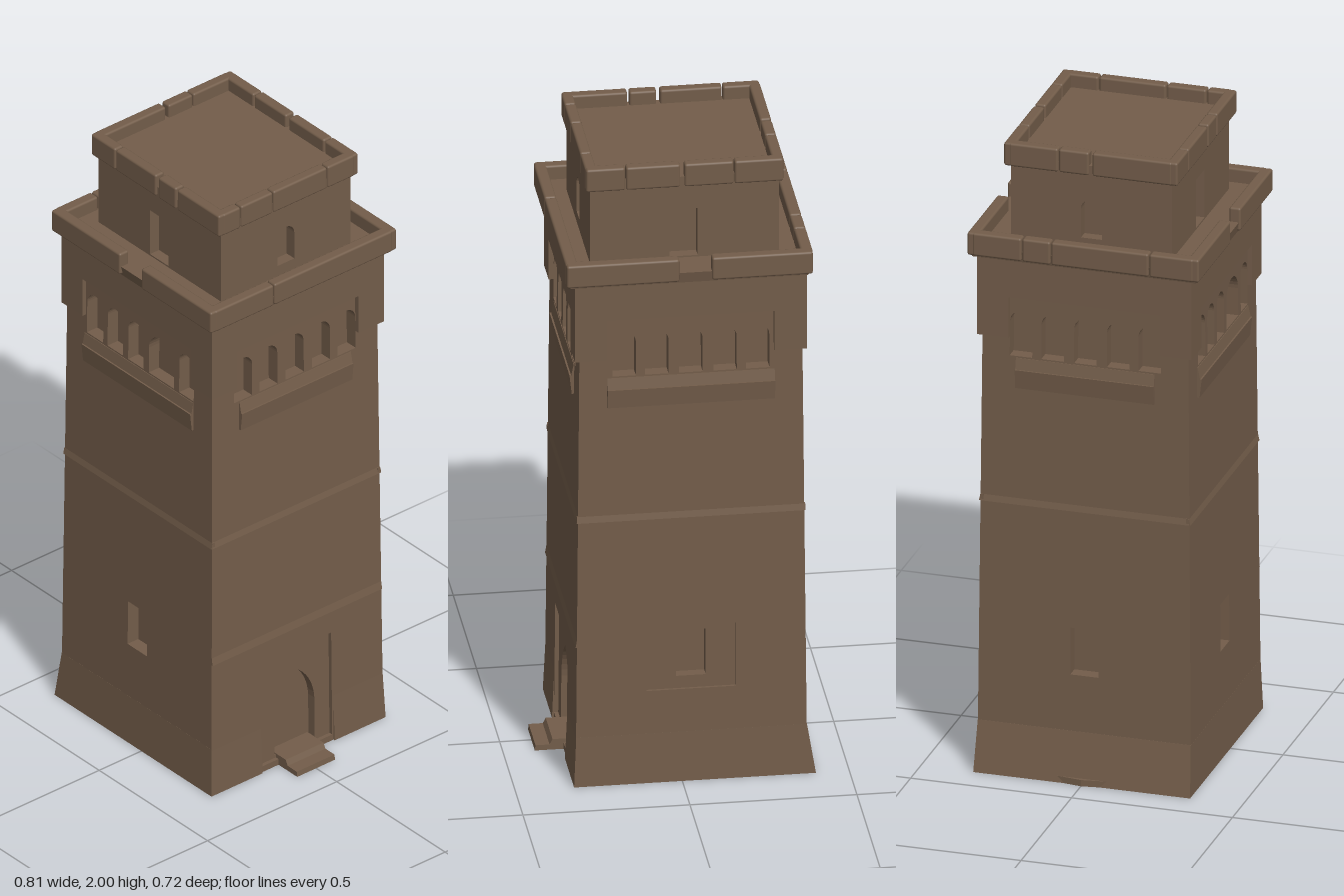
import * as THREE from 'three';
import { RoundedBoxGeometry } from 'three/addons/geometries/RoundedBoxGeometry.js';

const clay = new THREE.MeshStandardMaterial({ color: 0x735d4a });
clay.name = 'brown clay';

const SIDES = [
  { name: 'front', angle: 0 },
  { name: 'leftSide', angle: Math.PI / 2 },   // +x, with the door
  { name: 'back', angle: Math.PI },
  { name: 'rightSide', angle: -Math.PI / 2 },
];

function add(parent, name, geometry) {
  const mesh = new THREE.Mesh(geometry, clay);
  mesh.name = name;
  parent.add(mesh);
  return mesh;
}

function section(parent, name, x) {
  const g = new THREE.Group();
  g.name = name;
  g.position.x = x;
  parent.add(g);
  return g;
}

// Openings and outlines: [left, bottom, right, top]
function rect([l, b, r, t], Type = THREE.Path) {
  const p = new Type();
  p.moveTo(l, b); p.lineTo(r, b); p.lineTo(r, t); p.lineTo(l, t); p.closePath();
  return p;
}

function roundArch([l, b, r, t]) {
  const p = new THREE.Path(), rad = (r - l) / 2;
  p.moveTo(l, b); p.lineTo(r, b); p.lineTo(r, t - rad);
  p.absarc((l + r) / 2, t - rad, rad, 0, Math.PI, false);
  p.closePath();
  return p;
}

function pointedArch([l, b, r, t]) {
  const p = new THREE.Path(), m = (l + r) / 2, s = b + (t - b) * 0.5;
  p.moveTo(l, b); p.lineTo(r, b); p.lineTo(r, s);
  p.quadraticCurveTo(r - 0.005, t - 0.05, m, t);
  p.quadraticCurveTo(l + 0.005, t - 0.05, l, s);
  p.closePath();
  return p;
}

// Box whose bottom and top rectangles differ: [x0, x1, z0, z1]
function loft(y0, bottom, y1, top) {
  const g = new THREE.BoxGeometry(1, 1, 1), p = g.attributes.position;
  for (let i = 0; i < p.count; i++) {
    const q = p.getY(i) < 0 ? bottom : top;
    p.setXYZ(i, p.getX(i) < 0 ? q[0] : q[1], p.getY(i) < 0 ? y0 : y1, p.getZ(i) < 0 ? q[2] : q[3]);
  }
  g.computeVertexNormals();
  return g;
}

// The shaft leans slightly inwards towards the top
function taper(g) {
  const p = g.attributes.position;
  for (let i = 0; i < p.count; i++) {
    const f = 1 + 0.027 * (1.4 - p.getY(i));
    p.setX(i, p.getX(i) * f);
    p.setZ(i, p.getZ(i) * f);
  }
  g.computeVertexNormals();
  return g;
}

// Slab lying between two distances from the centre, turned to its side
function slab(shape, inner, outer, angle) {
  const g = new THREE.ExtrudeGeometry(shape, { depth: outer - inner, bevelEnabled: false, curveSegments: 8 });
  return g.translate(0, 0, inner).rotateY(angle);
}

// Rows of parapet stones round a rectangle, cut at the given places
function parapet(parent, name, [x0, x1, z0, z1], y0, y1, t, runs) {
  const g = section(parent, name, 0);
  const h = y1 - y0, gap = 0.003;
  for (const side of Object.keys(runs)) {
    for (const [a, b] of runs[side]) {
      const len = b - a - gap, mid = (a + b) / 2;
      const alongX = side === 'front' || side === 'back';
      const stone = add(g, side + 'Stone', new RoundedBoxGeometry(alongX ? len : t, h, alongX ? t : len, 2, 0.007));
      if (alongX) stone.position.set(mid, (y0 + y1) / 2, side === 'front' ? z1 - t / 2 : z0 + t / 2);
      else stone.position.set(side === 'left' ? x1 - t / 2 : x0 + t / 2, (y0 + y1) / 2, mid);
    }
  }
}

export function createModel() {
  const model = new THREE.Group();
  model.name = 'tower';

  // Shaft: solid core, four pierced walls, ledges below the arcades
  const HX = 0.334, HZ = 0.32, D = 0.04, TOP = 1.66;
  const shaft = section(model, 'shaft', -0.028);
  add(shaft, 'core', taper(loft(0, [-HX + D, HX - D, -HZ + D, HZ - D], TOP, [-HX + D, HX - D, -HZ + D, HZ - D])));
  const wideArches = [[-0.242, -0.167], [-0.147, -0.077], [-0.052, 0.018], [0.043, 0.158], [0.183, 0.25]];
  const evenArches = [-0.2, -0.102, 0, 0.102, 0.2].map((c) => [c - 0.035, c + 0.035]);
  const window = [-0.043, 0.34, 0.043, 0.49];
  for (const { name, angle } of SIDES) {
    const wide = name === 'front' || name === 'back';
    const half = wide ? HZ : HX, w = wide ? HX : HZ - D;
    const wall = rect([-w, 0, w, TOP], THREE.Shape);
    for (const [l, r] of name === 'front' ? wideArches : evenArches) wall.holes.push(roundArch([l, 1.34, r, 1.485]));
    let panel = null, opening = null, inset = 0.008;
    if (name === 'leftSide') {
      panel = [-0.13, 0.02, 0.13, 0.38];
      opening = pointedArch([-0.075, 0.03, 0.075, 0.305]);
      inset = 0.012;
    } else if (name === 'back') {
      panel = [-0.13, 0.3, 0.13, 0.53];
      opening = rect(window);
    }
    wall.holes.push(rect(panel || window));
    add(shaft, name + 'Wall', taper(slab(wall, half - D, half, angle)));
    if (panel) {
      const infill = rect(panel, THREE.Shape);
      infill.holes.push(opening);
      add(shaft, name + 'Surround', taper(slab(infill, half - D, half - inset, angle)));
    }
    // Two-step ledge
    const p = wide ? 0.25 : 0.215;
    add(shaft, name + 'Ledge', taper(loft(1.24, [-p, p, half - 0.02, half + 0.007], 1.3, [-p, p, half - 0.02, half + 0.014]).rotateY(angle)));
    add(shaft, name + 'Sill', taper(loft(1.3, [-p, p, half - 0.02, half + 0.009], 1.335, [-p, p, half - 0.02, half + 0.002]).rotateY(angle)));
    // Faint string course
    const c = wide ? HX + 0.003 : HZ;
    add(shaft, name + 'Course', taper(loft(0.865, [-c, c, half - 0.01, half + 0.004], 0.885, [-c, c, half - 0.01, half]).rotateY(angle)));
  }
  add(shaft, 'doorCourse', taper(loft(0.455, [-HZ, HZ, HX - 0.01, HX + 0.004], 0.48, [-HZ, HZ, HX - 0.01, HX]).rotateY(Math.PI / 2)));

  // Flared foot, left open in front of the door
  const foot = section(model, 'foot', 0);
  add(foot, 'frontFoot', loft(0, [-0.4, 0.324, 0.14, 0.337], 0.16, [-0.374, 0.317, 0.14, 0.331]));
  add(foot, 'backFoot', loft(0, [-0.4, 0.324, -0.337, -0.14], 0.16, [-0.374, 0.317, -0.331, -0.14]));
  add(foot, 'sideFoot', loft(0, [-0.4, 0, -0.14, 0.14], 0.16, [-0.374, 0, -0.14, 0.14]));
  const bulge = new THREE.Shape([[-0.37, -0.26], [-0.37, 0.26], [-0.408, 0]].map(([x, z]) => new THREE.Vector2(x, -z)));
  add(foot, 'bulge', new THREE.ExtrudeGeometry(bulge, { depth: 0.02, bevelEnabled: false }).rotateX(-Math.PI / 2));

  // Door steps
  add(foot, 'upperStep', loft(0, [0.27, 0.37, -0.073, 0.073], 0.034, [0.27, 0.352, -0.073, 0.073]));
  add(foot, 'lowerStep', loft(0, [0.33, 0.405, -0.073, 0.073], 0.017, [0.33, 0.403, -0.073, 0.073]));

  // Belt framing the arcades
  const belt = section(model, 'belt', -0.026);
  for (const { name, angle } of SIDES) {
    const wide = name === 'front' || name === 'back';
    const half = wide ? 0.333 : 0.347, w = wide ? 0.347 : 0.333, p = wide ? 0.25 : 0.235;
    const frame = new THREE.Shape([
      [-w, 1.4], [-p, 1.4], [-p, 1.53], [p, 1.53], [p, 1.4], [w, 1.4], [w, 1.66], [-w, 1.66],
    ].map(([x, y]) => new THREE.Vector2(x, y)));
    add(belt, name + 'Belt', slab(frame, half - 0.03, half, angle));
  }

  // Cornice, terrace and its broken parapet
  add(model, 'terrace', loft(1.65, [-0.376, 0.336, -0.347, 0.347], 1.685, [-0.385, 0.345, -0.355, 0.355]));
  parapet(model, 'terraceParapet', [-0.39, 0.35, -0.36, 0.36], 1.657, 1.73, 0.036, {
    front: [[-0.39, -0.07], [0.025, 0.35]],
    back: [[-0.39, -0.085], [0.01, 0.35]],
    left: [[-0.345, 0.115], [0.115, 0.345]],
    right: [[-0.345, -0.19], [-0.19, -0.1], [-0.1, 0.205], [0.205, 0.345]],
  });

  // Upper chamber with an opening on every side
  const UX = 0.283, UZ = 0.25, UD = 0.035;
  const chamber = section(model, 'chamber', -0.018);
  add(chamber, 'chamberCore', loft(1.66, [-UX + UD, UX - UD, -UZ + UD, UZ - UD], 1.94, [-UX + UD, UX - UD, -UZ + UD, UZ - UD]));
  for (const { name, angle } of SIDES) {
    const wide = name === 'front' || name === 'back';
    const half = wide ? UZ : UX, w = wide ? UX : UZ - UD;
    const wall = rect([-w, 1.66, w, 1.94], THREE.Shape);
    wall.holes.push(wide ? rect([-0.045, 1.69, 0.04, 1.845]) : roundArch([-0.033, 1.72, 0.033, 1.845]));
    add(chamber, name + 'ChamberWall', slab(wall, half - UD, half, angle));
  }

  // Roof and its parapet
  add(model, 'roof', loft(1.93, [-0.308, 0.274, -0.262, 0.262], 1.957, [-0.308, 0.274, -0.262, 0.262]));
  parapet(model, 'roofParapet', [-0.314, 0.28, -0.27, 0.27], 1.926, 2, 0.034, {
    front: [[-0.314, -0.2], [-0.2, -0.012], [-0.004, 0.08], [0.083, 0.28]],
    back: [[-0.314, -0.165], [-0.165, -0.015], [-0.005, 0.16], [0.16, 0.28]],
    left: [[-0.255, -0.15], [-0.15, 0.06], [0.06, 0.185], [0.185, 0.255]],
    right: [[-0.255, -0.1], [-0.1, -0.004], [0.004, 0.255]],
  });

  return model;
}
